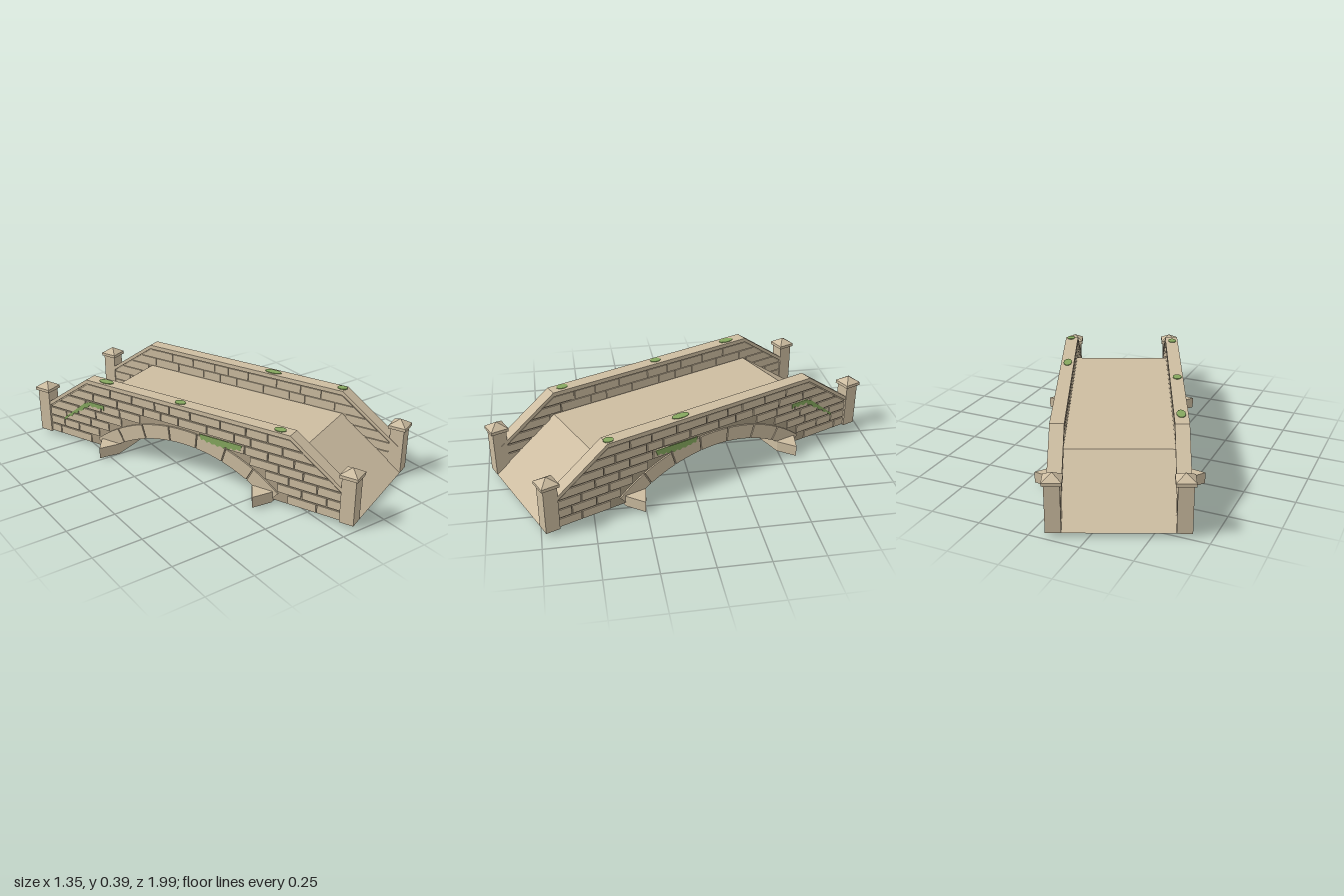
import * as THREE from 'three';
import { mergeGeometries } from 'three/addons/utils/BufferGeometryUtils.js';

const material = (name, color) => {
  const m = new THREE.MeshStandardMaterial({ color });
  m.name = name;
  return m;
};

// Main dimensions: the bridge runs along z, y is up
const BASE = 0.01, DECK = 0.25, BEND = 0.593, END = 0.93;
const SLOPE = (DECK - BASE) / (END - BEND);
const R = 0.764, CY = -0.596, RING = 0.078;      // arch circle and ring depth
const WALL_IN = 0.262, WALL_OUT = 0.306, PLATE = 0.006;

// Extrudes a side profile (z, y) across the bridge from x0 to x1
function slab(shape, x0, x1) {
  const g = new THREE.ExtrudeGeometry(shape, { depth: x1 - x0, bevelEnabled: false, curveSegments: 32 });
  return g.rotateY(-Math.PI / 2).translate(x1, 0, 0);
}
const poly = pts => new THREE.Shape(pts.map(p => new THREE.Vector2(p[0], p[1])));
const both = (s, a, b) => (s > 0 ? [a, b] : [-b, -a]);

// Profile with a flat top, two ramps and the arch cut out below
function bridgeProfile(rise) {
  const a = Math.asin((BASE - CY) / R);
  const shape = new THREE.Shape();
  shape.moveTo(-END, BASE);
  shape.lineTo(-R * Math.cos(a), BASE);
  shape.absarc(0, CY, R, Math.PI - a, a, true);
  shape.lineTo(END, BASE);
  if (rise > 0) shape.lineTo(END, BASE + rise);
  shape.lineTo(BEND, DECK + rise);
  shape.lineTo(-BEND, DECK + rise);
  if (rise > 0) shape.lineTo(-END, BASE + rise);
  return shape;
}

// Courses of masonry trimmed to the ramps and to the arch ring
function masonry() {
  let seed = 11;
  const rnd = () => (seed = (seed * 16807) % 2147483647) / 2147483647;
  const outer = y => Math.min(END - 0.01, BEND + (0.348 - y) / SLOPE);
  const inner = y => {
    const q = (R + RING + 0.006) ** 2 - (y - CY) ** 2;
    return q > 0 ? Math.sqrt(q) : 0;
  };
  const stones = [];
  for (let row = 0; row < 7; row++) {
    const y0 = 0.014 + row * 0.049, y1 = y0 + 0.042;
    const lo = inner(y0);
    const runs = lo > 0
      ? [[-outer(y0), -outer(y1), -lo, -lo], [lo, lo, outer(y0), outer(y1)]]
      : [[-outer(y0), -outer(y1), outer(y0), outer(y1)]];
    for (const [l0, l1, r0, r1] of runs) {
      const n = Math.max(2, Math.round((r0 - l0) / 0.14));
      const w = (Math.min(r0, r1) - Math.max(l0, l1)) / n;
      let b0 = l0, b1 = l1;
      for (let i = 1; i <= n; i++) {
        const joint = Math.max(l0, l1) + w * (i + (rnd() - 0.5) * 0.5);
        const e0 = i === n ? r0 : joint - 0.003, e1 = i === n ? r1 : joint - 0.003;
        stones.push({ y: y0, z: (b0 + e0) / 2, shape: poly([[b0, y0], [e0, y0], [e1, y1], [b1, y1]]) });
        b0 = b1 = joint + 0.003;
      }
    }
  }
  return stones;
}

// Wedge stones of the arch ring
function ringStones() {
  const half = Math.acos((0.02 - CY) / (R + RING / 2)), n = 7, out = [];
  for (let i = 0; i < n; i++) {
    const a = Math.PI / 2 - half + (2 * half * i) / n + 0.004;
    const b = a + (2 * half) / n - 0.008;
    const s = new THREE.Shape();
    s.absarc(0, CY, R + RING, a, b, false);
    s.absarc(0, CY, R + 0.001, b, a, true);
    out.push(s);
  }
  return out;
}

export function createModel() {
  const stone = material('sandstone', 0xcdbda1);
  const mortar = material('mortar', 0xab9d84);
  const moss = material('moss', 0x86a85e);

  const model = new THREE.Group();
  model.name = 'stoneBridge';
  const bridge = new THREE.Group();
  bridge.name = 'bridge';
  bridge.rotation.y = 0.407;
  model.add(bridge);
  const add = (name, geometry, mat) => {
    const m = new THREE.Mesh(geometry, mat);
    m.name = name;
    bridge.add(m);
    return m;
  };

  // Roadway with vault
  add('roadway', slab(bridgeProfile(0), -WALL_IN, WALL_IN), stone);

  const stones = masonry(), ring = ringStones();
  const t = 0.022, top = 0.378, low = top - SLOPE * (END - BEND);
  const coping = poly([[-END, low - t], [-BEND, top - t], [BEND, top - t], [END, low - t],
    [END, low], [BEND, top], [-BEND, top], [-END, low]]);

  // Moss hanging from a course, with a ragged lower edge
  const hanging = [[0.34, 0.252], [0.1, 0.252]];
  for (let i = 0; i <= 14; i++) hanging.push([0.11 + i * 0.0155, 0.222 - 0.012 * Math.sin(i * 0.22) + (i % 2) * 0.009]);
  const trailing = [[-0.49, 0.252], [-0.58, 0.252], [-0.62, 0.235], [-0.76, 0.12], [-0.77, 0.1]];
  for (let i = 0; i <= 14; i++) trailing.push([-0.75 + i * 0.0185, 0.112 + Math.min(i, 9) * 0.0125 + (i % 2) * 0.01]);

  for (const s of [1, -1]) {
    const side = s > 0 ? 'left' : 'right';
    add(side + 'Wall', slab(bridgeProfile(top - t - DECK), ...both(s, WALL_IN, WALL_OUT)), mortar);
    add(side + 'Coping', slab(coping, ...both(s, 0.25, 0.318)), stone);

    const outer = both(s, WALL_OUT, WALL_OUT + PLATE), inner = both(s, WALL_IN - PLATE, WALL_IN);
    add(side + 'OuterStones', mergeGeometries(stones.map(b => slab(b.shape, ...outer))), stone);
    add(side + 'InnerStones', mergeGeometries(stones
      .filter(b => b.y > 0.25 || Math.abs(b.z) > 0.6).map(b => slab(b.shape, ...inner))), stone);
    add(side + 'ArchRing', mergeGeometries(ring.map(b => slab(b, ...both(s, WALL_OUT, WALL_OUT + 0.008)))), stone);

    const mossX = both(s, WALL_OUT + PLATE, WALL_OUT + 0.0095);
    add(side + 'HangingMoss', slab(poly(hanging), ...mossX), moss);
    add(side + 'TrailingMoss', slab(poly(trailing), ...mossX), moss);

    // End posts with pyramid caps
    for (const e of [1, -1]) {
      const x = s * 0.286, z = e * 0.895;
      add('post', new THREE.BoxGeometry(0.071, 0.235, 0.071).translate(x, 0.1275, z), stone);
      add('postCapSlab', new THREE.BoxGeometry(0.09, 0.016, 0.09).translate(x, 0.252, z), stone);
      const cap = new THREE.ConeGeometry(0.045 * Math.SQRT2, 0.03, 4).toNonIndexed();
      cap.computeVertexNormals();
      add('postCapPeak', cap.rotateY(Math.PI / 4).translate(x, 0.275, z), stone);
    }
  }

  // Footings with pointed cutwaters at both ends
  for (const e of [1, -1]) {
    const foot = poly([[-0.32, -0.055], [0.32, -0.055], [0.411, 0], [0.32, 0.055], [-0.32, 0.055], [-0.411, 0]]);
    const g = new THREE.ExtrudeGeometry(foot, { depth: 0.057, bevelEnabled: false });
    add('footing', g.rotateX(-Math.PI / 2).translate(0, 0, e * 0.455), stone);
  }

  // Moss tufts on the coping: x, z, half length
  for (const [x, z, r] of [[-0.284, -0.485, 0.043], [-0.288, -0.026, 0.03], [-0.287, 0.527, 0.03],
    [0.283, 0.18, 0.047], [0.289, 0.575, 0.026]]) {
    const g = new THREE.CylinderGeometry(1, 1, 0.005, 11).scale(0.022, 1, r);
    add('mossTuft', g.translate(x, top + 0.001, z), moss);
  }
  return model;
}
